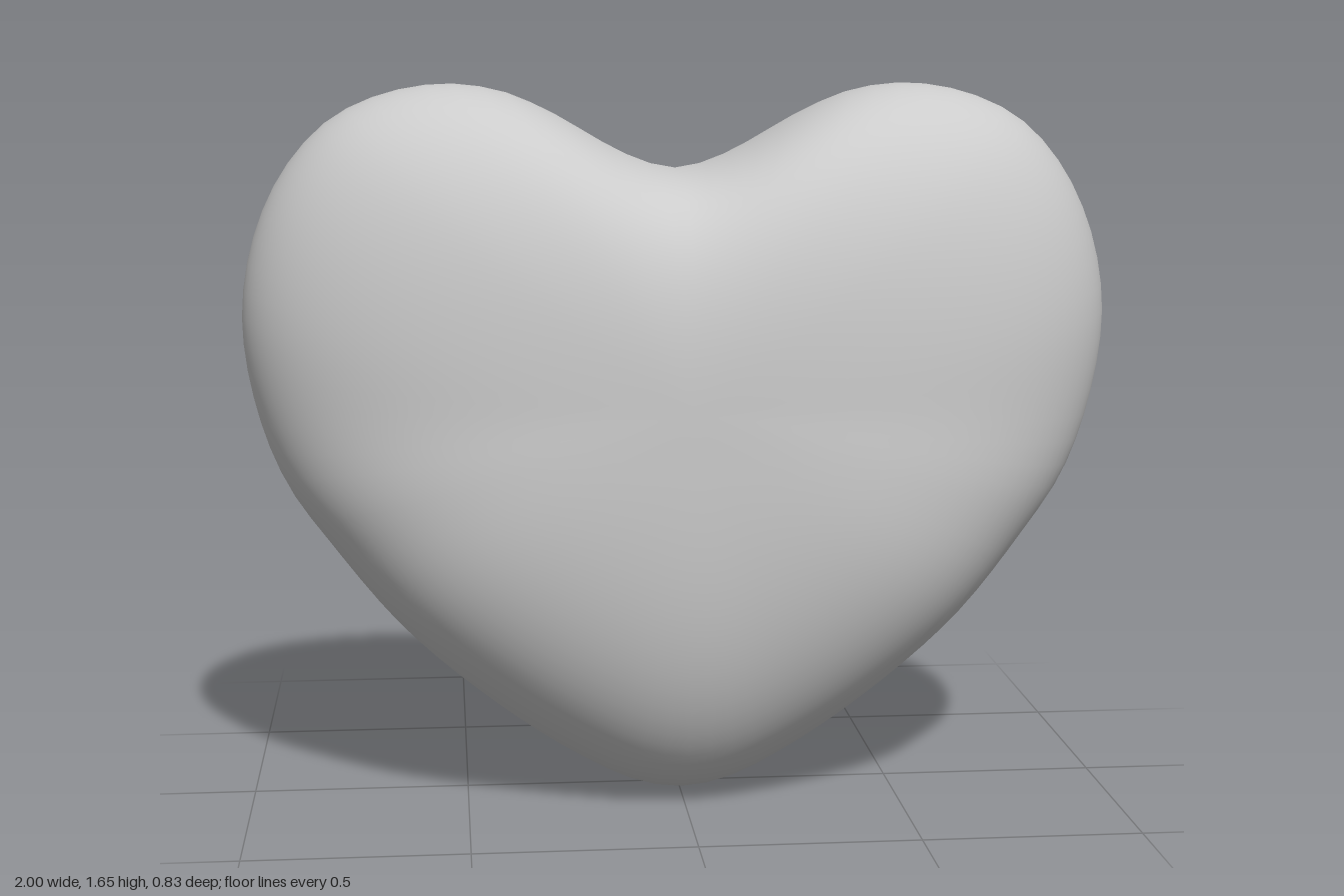
import * as THREE from 'three';
import { mergeVertices } from 'three/addons/utils/BufferGeometryUtils.js';

const CENTRE_Y = 0.95;
const DEPTH = 0.415;

// Right half of the heart outline, from the notch clockwise to the tip
const HALF = [
  [0, 1.46], [0.11, 1.49], [0.3, 1.595], [0.4, 1.637], [0.53, 1.655], [0.68, 1.63],
  [0.8, 1.57], [0.9, 1.46], [0.97, 1.31], [1, 1.13], [0.975, 0.93], [0.91, 0.75],
  [0.805, 0.6], [0.64, 0.4], [0.41, 0.2], [0.24, 0.085], [0.11, 0.02], [0, 0],
];

function heartOutline(count) {
  const mirrored = HALF.slice(1, -1).reverse().map(([x, y]) => [-x, y]);
  const points = [...HALF, ...mirrored].map(([x, y]) => new THREE.Vector3(x, y, 0));
  return new THREE.CatmullRomCurve3(points, true).getSpacedPoints(count).slice(0, count);
}

// Rings run from the back pole over the rim to the front pole
function heartGeometry(rings, segments) {
  const outline = heartOutline(segments);
  const positions = [];
  const index = [];
  for (let i = 0; i <= rings; i++) {
    const phi = (i / rings - 0.5) * Math.PI;
    for (const p of outline) {
      const dy = p.y - CENTRE_Y;
      // superellipse section: fullest along the lower flanks, slimmest at the sides
      const low = THREE.MathUtils.smoothstep(-dy, 0, 0.8);
      const flank = Math.exp(-(((dy + 0.5) / 0.3) ** 2));
      const across = 2.5 + 0.45 * low + 0.9 * flank;
      const deep = 2 + 0.1 * low + 0.3 * flank;
      const t = Math.max(0, Math.cos(phi)) ** (2 / across);
      const z = Math.sign(phi) * DEPTH * Math.abs(Math.sin(phi)) ** (2 / deep);
      // the notch fades out towards the middle of each face
      const fill = dy > 0 ? 0.15 * Math.exp(-((p.x / 0.3) ** 2)) * (1 - t * t) : 0;
      positions.push(p.x * t, CENTRE_Y + (dy + fill) * t, z);
    }
  }
  for (let i = 0; i < rings; i++) {
    for (let j = 0; j < segments; j++) {
      const k = (j + 1) % segments;
      const a = i * segments + j, b = a + segments;
      const c = i * segments + k, d = c + segments;
      if (i > 0) index.push(a, b, c);
      if (i < rings - 1) index.push(c, b, d);
    }
  }
  let geometry = new THREE.BufferGeometry();
  geometry.setAttribute('position', new THREE.Float32BufferAttribute(positions, 3));
  geometry.setIndex(index);
  geometry = mergeVertices(geometry, 1e-5);
  geometry.computeVertexNormals();
  return geometry;
}

export function createModel() {
  const group = new THREE.Group();
  const heart = new THREE.Mesh(
    heartGeometry(48, 96),
    new THREE.MeshStandardMaterial({ color: 0xcccccc }),
  );
  heart.name = 'heart';
  group.add(heart);
  return group;
}
